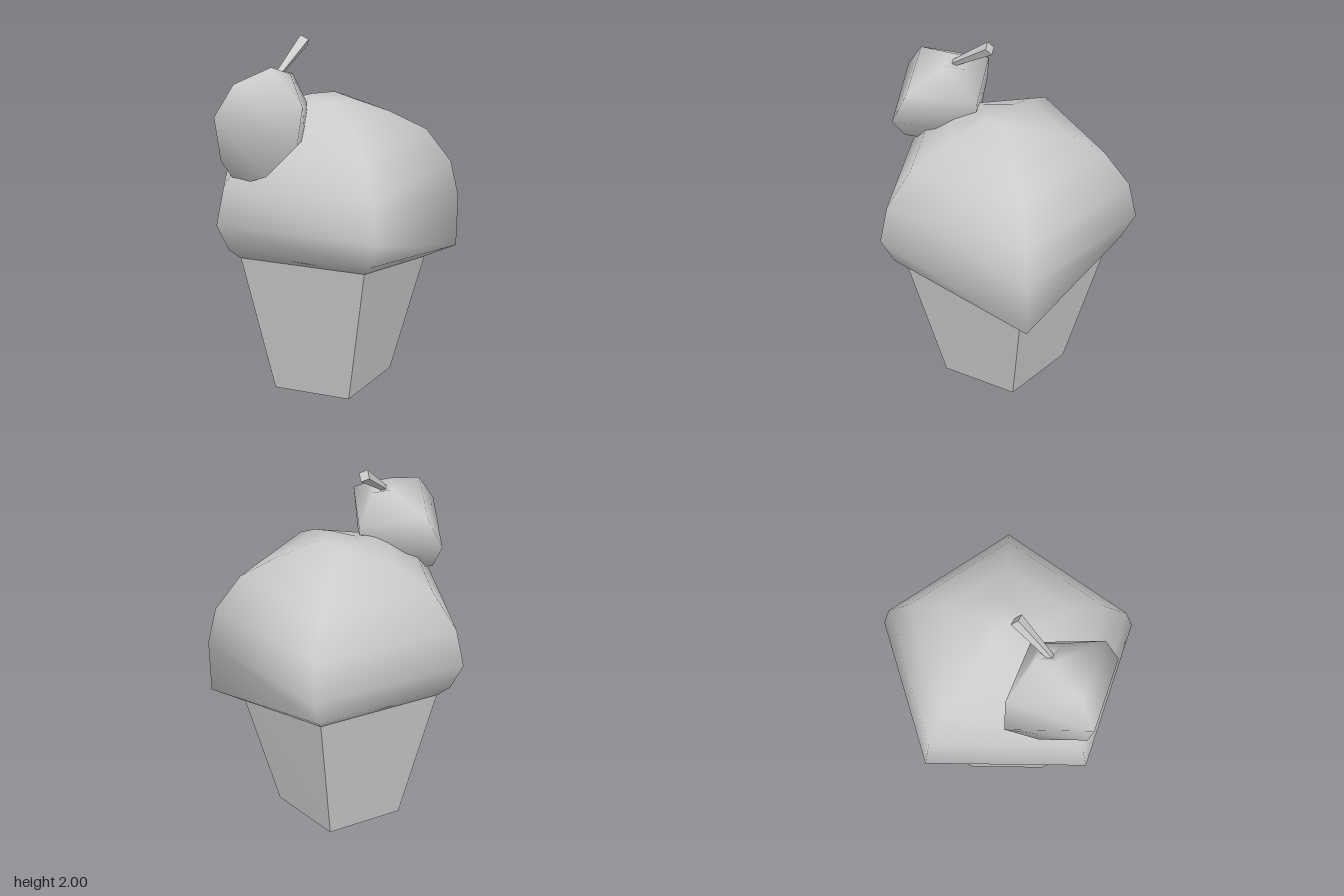
import * as THREE from 'three';

// One closed loop of corners; sides run from +x towards +z, start is the first angle
function ring(sides, start, x, y, rx, rz = rx) {
  return Array.from({ length: sides }, (_, i) => {
    const a = start + (i / sides) * Math.PI * 2;
    return new THREE.Vector3(x + rx * Math.cos(a), y, rz * Math.sin(a));
  });
}

// Skin a stack of loops from bottom to top and close both ends
function loft(rings) {
  const n = rings[0].length;
  const points = rings.flat();
  const index = [];
  for (let r = 0; r < rings.length - 1; r++) {
    for (let i = 0; i < n; i++) {
      const a = r * n + i;
      const b = r * n + ((i + 1) % n);
      index.push(a, a + n, b + n, a, b + n, b);
    }
  }
  const centre = (loop) => loop.reduce((s, p) => s.add(p), new THREE.Vector3()).divideScalar(n);
  const low = points.push(centre(rings[0])) - 1;
  const high = points.push(centre(rings[rings.length - 1])) - 1;
  const last = (rings.length - 1) * n;
  for (let i = 0; i < n; i++) {
    const j = (i + 1) % n;
    index.push(i, j, low, last + i, high, last + j);
  }
  const geometry = new THREE.BufferGeometry().setFromPoints(points);
  geometry.setIndex(index);
  geometry.computeVertexNormals();
  return geometry;
}

function addPart(group, name, geometry, flatShading = false) {
  const mesh = new THREE.Mesh(geometry, new THREE.MeshStandardMaterial({ color: 0xcccccc, flatShading }));
  mesh.name = name;
  group.add(mesh);
  return mesh;
}

export function createModel() {
  const model = new THREE.Group();
  model.name = 'cupcake';
  const cx = 0.067;
  const DRIP = 3; // corner at the front left where the frosting runs down
  const pentagon = (y, r) => ring(5, Math.PI, cx, y, r);

  // Five-sided tapered cup, its rim meeting the frosting
  const rim = pentagon(0.87, 0.578);
  rim[DRIP].set(0.51, 0.72, 0.32);
  addPart(model, 'cup', loft([pentagon(0, 0.37), rim]), true);

  // Swollen frosting dome with one dripping corner
  const frosting = [
    [0.87, 0.582], [0.935, 0.65], [1.09, 0.72], [1.29, 0.67],
    [1.475, 0.53], [1.575, 0.33], [1.655, 0.11],
  ].map(([y, r]) => pentagon(y, r));
  frosting[0][DRIP].set(0.513, 0.72, 0.322);
  frosting[1][DRIP].set(0.65, 0.79, 0.425);
  frosting[6][0].y = 1.635;
  addPart(model, 'frosting', loft(frosting));

  // Four-sided cherry leaning over the right-hand corner
  const cherry = addPart(model, 'cherry', loft([
    [-0.027, -0.29, 0.04, 0.04],
    [-0.015, -0.21, 0.16, 0.19],
    [0, 0, 0.29, 0.34],
    [0, 0.183, 0.235, 0.29],
    [0.02, 0.312, 0.07, 0.08],
    [0.02, 0.285, 0.01, 0.01],
  ].map(([x, y, rx, rz]) => ring(4, 0, x, y, rx, rz))));
  cherry.position.set(-0.38, 1.57, 0.02);
  cherry.rotation.set(0, -0.04, -0.37);

  // Square stem, thicker at its tip
  const from = new THREE.Vector3(-0.27, 1.835, 0.022);
  const to = new THREE.Vector3(-0.065, 1.975, -0.035);
  const along = to.clone().sub(from);
  const stem = addPart(model, 'stem', new THREE.CylinderGeometry(0.035, 0.018, along.length(), 4), true);
  stem.position.copy(from).add(to).multiplyScalar(0.5);
  stem.quaternion.setFromUnitVectors(new THREE.Vector3(0, 1, 0), along.normalize());

  return model;
}
